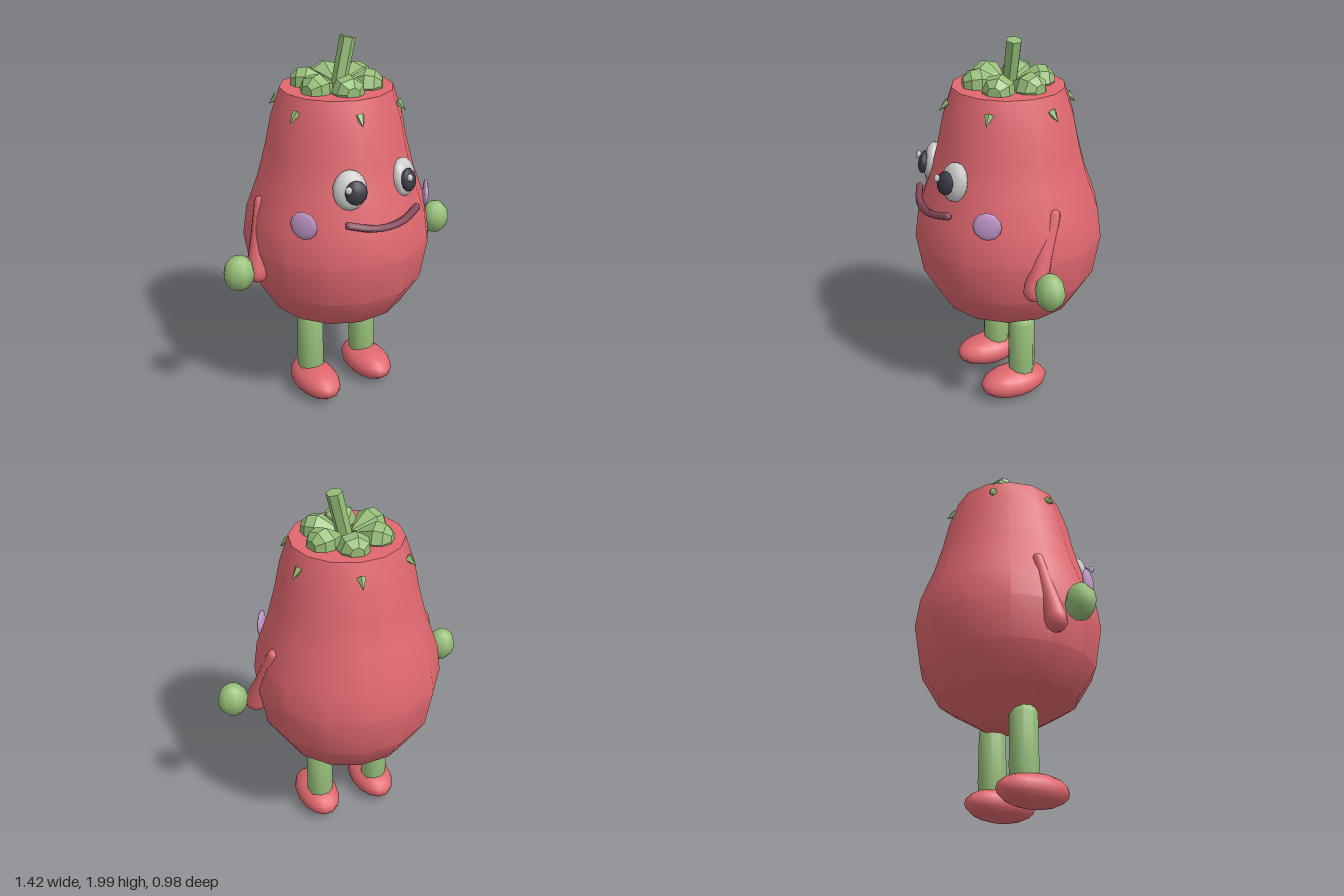
import * as THREE from 'three';
import { toCreasedNormals } from 'three/addons/utils/BufferGeometryUtils.js';

const mat = (color, flatShading = false) => new THREE.MeshStandardMaterial({ color, flatShading });
const V = (x, y, z) => new THREE.Vector3(x, y, z);
const UP = V(0, 1, 0);

export function createModel() {
  const model = new THREE.Group();
  const red = mat(0xe0686f), green = mat(0x96be78), greenFlat = mat(0x96be78, true);
  const white = mat(0xcccccc), dark = mat(0x3a3a46), lilac = mat(0xc79ccf), lip = mat(0x85485a);

  const add = (name, geometry, material, position = V(0, 0, 0), parent = model) => {
    const mesh = new THREE.Mesh(geometry, material);
    mesh.name = name;
    mesh.position.copy(position);
    parent.add(mesh);
    return mesh;
  };
  const ellipsoid = (rx, ry, rz, w = 10, h = 7) => new THREE.SphereGeometry(1, w, h).scale(rx, ry, rz);
  const lathe = (pts, n, start = 0) =>
    new THREE.LatheGeometry(pts.map(([r, y]) => new THREE.Vector2(r, y)), n, start);

  // Pear-shaped body with flat top and bottom
  const profile = [[0, 0.45], [0.147, 0.45], [0.365, 0.58], [0.465, 0.745], [0.5, 0.96], [0.477, 1.12],
    [0.41, 1.3], [0.367, 1.46], [0.335, 1.61], [0.287, 1.75], [0, 1.75]];
  add('body', toCreasedNormals(lathe(profile, 14, Math.PI / 2), 0.52), red);

  // Crown leaves and the small seeds beneath the rim
  for (let i = 0; i < 6; i++) {
    const a = (-78 + i * 60) * Math.PI / 180;
    const out = V(Math.cos(a), 0, Math.sin(a));
    const leafShape = lathe([[0, 0], [0.045, 0.06], [0.085, 0.12], [0.075, 0.17], [0.035, 0.205], [0, 0.205]], 7, 0.3);
    leafShape.scale(1, 1, 0.9).rotateX(Math.PI / 2);
    const leaf = add('crownLeaf', leafShape, greenFlat, out.clone().multiplyScalar(0.025).setY(1.765));
    leaf.rotation.y = Math.PI / 2 - a;

    const seed = add('seed', new THREE.ConeGeometry(0.024, 0.065, 5), greenFlat,
      out.clone().multiplyScalar(0.328).setY(1.658));
    seed.quaternion.setFromUnitVectors(UP, out.clone().setY(-0.9).normalize());
  }

  // Leaning stem
  const stemBase = V(0, 1.7, 0), stemTip = V(0.066, 1.985, 0);
  const stemAxis = stemTip.clone().sub(stemBase);
  const stem = add('stem', new THREE.CylinderGeometry(0.041, 0.039, stemAxis.length(), 6), greenFlat,
    stemBase.clone().add(stemTip).multiplyScalar(0.5));
  stem.quaternion.setFromUnitVectors(UP, stemAxis.normalize());

  for (const s of [1, -1]) {
    const side = s > 0 ? 'left' : 'right';

    // Eye: white, pupil and glint, turned to follow the body
    const eye = new THREE.Group();
    eye.name = side + 'Eye';
    eye.position.set(s * 0.16, 1.345, 0.362);
    eye.rotation.set(-0.2, s * 0.38, 0, 'YXZ');
    model.add(eye);
    add('eyeWhite', ellipsoid(0.085, 0.1, 0.045), white, V(0, 0, 0), eye);
    add('pupil', ellipsoid(0.056, 0.06, 0.027, 8, 6), dark, V(s * -0.022, -0.008, 0.042), eye);
    add('glint', ellipsoid(0.018, 0.02, 0.014, 6, 5), white,
      V(-0.036 - s * 0.016, 0.012, 0.072), eye);

    // Cheek
    const cheek = add(side + 'Cheek', ellipsoid(0.072, 0.073, 0.016, 8, 6), lilac, V(s * 0.372, 1.18, 0.283));
    cheek.rotation.y = s * 0.98;

    // Arm: thin at the shoulder, rounded at the end, mostly sunk into the body
    const shoulder = V(s * 0.43, 1.2, -0.05);
    const wrist = V(s * 0.495, 0.84, s > 0 ? 0.085 : 0.01);
    const axis = wrist.clone().sub(shoulder), len = axis.length();
    const arm = add(side + 'Arm', lathe([[0, -0.03], [0.022, -0.022], [0.03, 0], [0.042, len * 0.5],
      [0.058, len - 0.02], [0.054, len + 0.02], [0.032, len + 0.045], [0, len + 0.055]], 10), red, shoulder);
    arm.quaternion.setFromUnitVectors(UP, axis.normalize());

    // Hand
    add(side + 'Hand', ellipsoid(0.083, 0.095, 0.076, 8, 6), green, V(s * 0.625, 0.9, 0.068));

    // Leg and foot
    add(side + 'Leg', toCreasedNormals(lathe([[0, 0.1], [0.07, 0.12], [0.075, 0.2], [0.072, 0.47],
      [0.055, 0.5], [0, 0.51]], 9), 0.8), green, V(s * 0.173, 0, 0));
    add(side + 'Foot', ellipsoid(0.117, 0.086, 0.195, 14, 10), red, V(s * 0.175, 0.086, 0.047));
  }

  // Smiling mouth with closed ends
  const smile = new THREE.CatmullRomCurve3([V(-0.205, 1.19, 0.42), V(-0.1, 1.165, 0.462),
    V(0, 1.155, 0.472), V(0.1, 1.165, 0.462), V(0.205, 1.19, 0.42)]);
  add('mouth', new THREE.TubeGeometry(smile, 10, 0.02, 6), lip);
  for (const t of [0, 1]) add('mouthCorner', ellipsoid(0.02, 0.02, 0.02, 6, 5), lip, smile.getPoint(t));

  return model;
}
